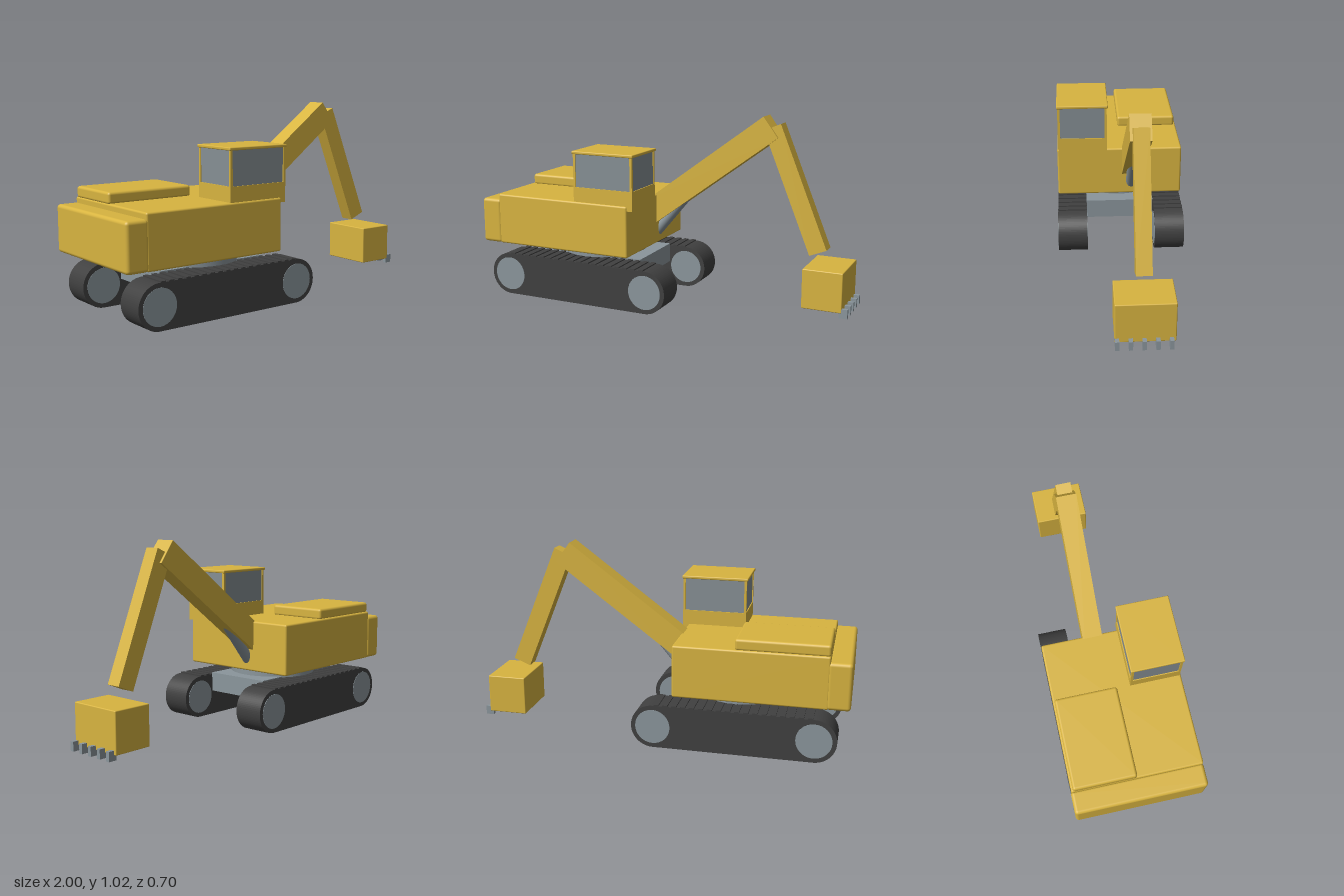
import * as THREE from 'three';
import { RoundedBoxGeometry } from 'three/addons/geometries/RoundedBoxGeometry.js';

const makeMaterial = (name, color) => {
  const m = new THREE.MeshStandardMaterial({ color });
  m.name = name;
  return m;
};

export function createModel() {
  const yellow = makeMaterial('yellow paint', 0xd8b440);
  const rubber = makeMaterial('dark track', 0x404040);
  const steel = makeMaterial('grey steel', 0x8b969c);
  const glass = makeMaterial('window glass', 0x868f94);

  const model = new THREE.Group();
  model.name = 'excavator';

  const add = (name, geometry, material, parent = model) => {
    const mesh = new THREE.Mesh(geometry, material);
    mesh.name = name;
    parent.add(mesh);
    return mesh;
  };

  // Box given by its limits on each axis, with optional rounded edges
  const box = (name, material, [x0, x1], [y0, y1], [z0, z1], radius = 0, parent = model) => {
    const size = [x1 - x0, y1 - y0, z1 - z0];
    const geometry = radius
      ? new RoundedBoxGeometry(...size, 3, radius)
      : new THREE.BoxGeometry(...size);
    const mesh = add(name, geometry, material, parent);
    mesh.position.set((x0 + x1) / 2, (y0 + y1) / 2, (z0 + z1) / 2);
    return mesh;
  };

  // Straight arm between two points in the side plane
  const ARM_Z = -0.066;
  const beam = (name, geometry, material, [x0, y0], [x1, y1]) => {
    const mesh = add(name, geometry, material);
    mesh.position.set((x0 + x1) / 2, (y0 + y1) / 2, ARM_Z);
    mesh.rotation.z = Math.atan2(y1 - y0, x1 - x0) - Math.PI / 2;
    return mesh;
  };

  // Tracks: stadium profile with end wheels and slats on the upper run
  const R = 0.115, REAR = -0.83, FRONT = 0, TRACK_W = 0.16;
  const outline = new THREE.Shape();
  outline.absarc(FRONT, R, R, -Math.PI / 2, Math.PI / 2);
  outline.absarc(REAR, R, R, Math.PI / 2, Math.PI * 1.5);
  outline.closePath();
  const trackGeometry = new THREE.ExtrudeGeometry(outline, {
    depth: TRACK_W, bevelEnabled: false, curveSegments: 20,
  });
  trackGeometry.translate(0, 0, -TRACK_W / 2);
  const wheelGeometry = new THREE.CylinderGeometry(0.092, 0.092, TRACK_W + 0.004, 32);
  wheelGeometry.rotateX(Math.PI / 2);
  for (const side of [1, -1]) {
    const track = new THREE.Group();
    track.name = side > 0 ? 'leftTrack' : 'rightTrack';
    track.position.z = side * 0.266;
    model.add(track);
    add('trackBelt', trackGeometry, rubber, track);
    for (const x of [REAR, FRONT]) add('trackWheel', wheelGeometry, steel, track).position.set(x, R, 0);
    for (let i = 0; i < 18; i++) {
      const x = -0.81 + i * 0.0465;
      box('trackSlat', rubber, [x - 0.013, x + 0.013], [0.222, 0.236], [-TRACK_W / 2, TRACK_W / 2], 0, track);
    }
  }

  // Undercarriage and turntable
  box('undercarriage', steel, [-0.73, -0.1], [0.135, 0.24], [-0.187, 0.187]);
  add('turntable', new THREE.CylinderGeometry(0.238, 0.238, 0.06, 48), steel).position.set(-0.415, 0.265, 0);

  // Upper body
  box('body', yellow, [-0.892, -0.1], [0.285, 0.56], [-0.343, 0.343], 0.01);
  box('counterweight', yellow, [-1, -0.88], [0.285, 0.53], [-0.346, 0.346], 0.018);
  box('engineHood', yellow, [-0.892, -0.418], [0.555, 0.615], [-0.333, -0.003], 0.014);

  // Cab: base, glass, corner posts, roof
  const cab = new THREE.Group();
  cab.name = 'cab';
  model.add(cab);
  const cabX = [-0.415, -0.07], cabZ = [0.07, 0.336];
  box('cabBase', yellow, cabX, [0.535, 0.638], cabZ, 0, cab);
  box('cabWindows', glass, [-0.41, -0.075], [0.638, 0.813], [0.075, 0.331], 0, cab);
  const POST = 0.013;
  for (const x of [cabX[0], cabX[1] - POST])
    for (const z of [cabZ[0], cabZ[1] - POST])
      box('cabPost', yellow, [x, x + POST], [0.638, 0.813], [z, z + POST], 0, cab);
  box('cabRoof', yellow, [-0.422, -0.064], [0.813, 0.829], [0.064, 0.341], 0.005, cab);

  // Boom, its cylinder, and the stick
  beam('boom', new THREE.BoxGeometry(0.132, 0.85, 0.105), yellow, [-0.139, 0.458], [0.545, 0.963]);
  beam('boomCylinder', new THREE.CylinderGeometry(0.03, 0.03, 0.375, 24), steel, [-0.12, 0.345], [0.12, 0.633]);
  beam('stick', new THREE.BoxGeometry(0.097, 0.686, 0.078), yellow, [0.81, 0.328], [0.55, 0.963]);

  // Bucket with five teeth
  const bucket = new THREE.Group();
  bucket.name = 'bucket';
  model.add(bucket);
  box('bucketShell', yellow, [0.76, 0.97], [0.06, 0.268], [-0.211, 0.079], 0.005, bucket);
  for (let i = -2; i <= 2; i++) {
    const z = -0.06 + i * 0.064;
    box('bucketTooth', steel, [0.957, 1], [0.035, 0.083], [z - 0.01, z + 0.01], 0, bucket);
  }

  return model;
}
